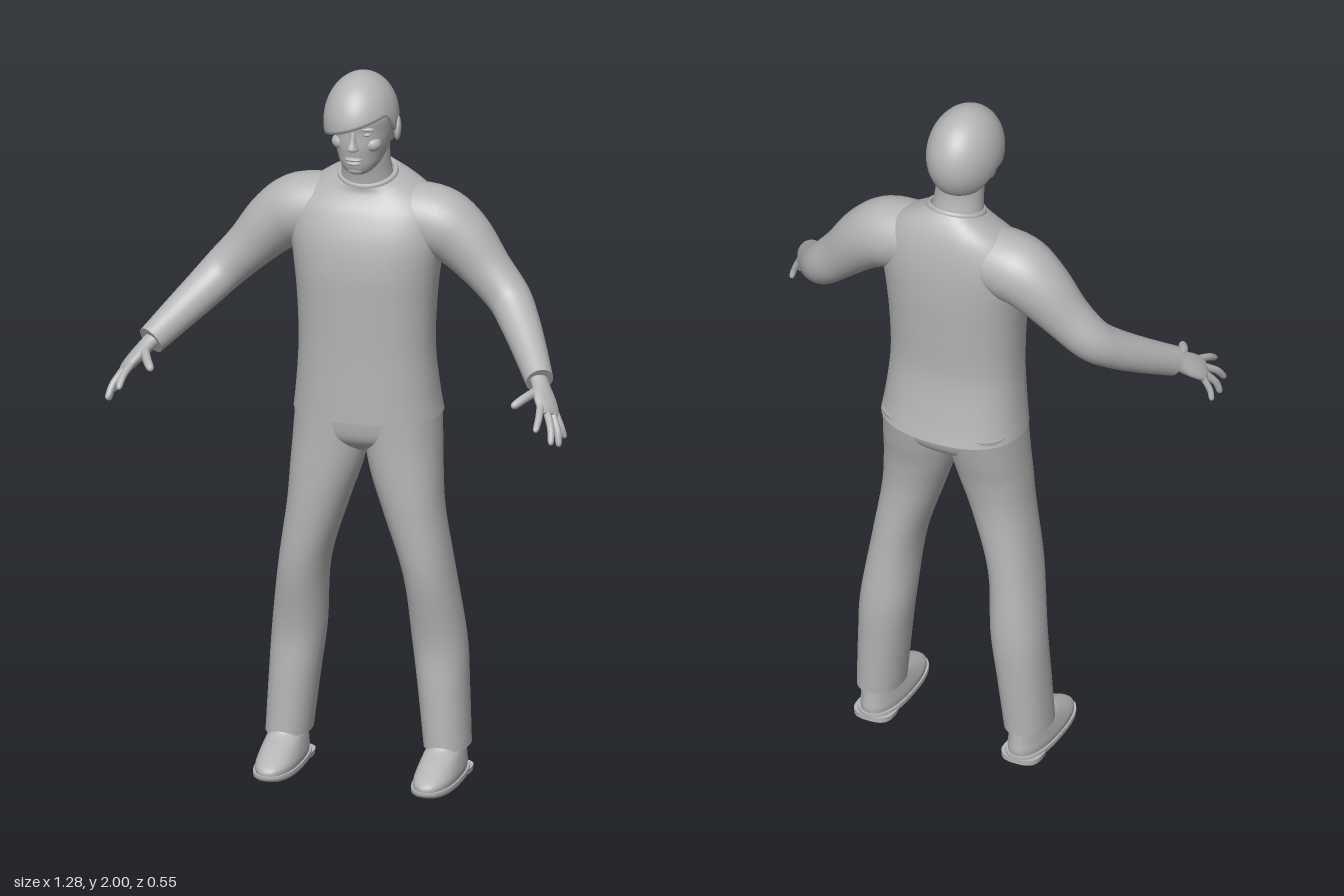
import * as THREE from 'three';
import { mergeVertices } from 'three/addons/utils/BufferGeometryUtils.js';

const grey = new THREE.MeshStandardMaterial({ color: 0xb5b5b5 });
grey.name = 'plain grey';

const V = (x, y, z) => new THREE.Vector3(x, y, z);
const { lerp, smoothstep } = THREE.MathUtils;

function add(parent, name, geometry) {
  const mesh = new THREE.Mesh(geometry, grey);
  mesh.name = name;
  parent.add(mesh);
  return mesh;
}

// Catmull-Rom smoothing of cross-section rows
function smoothRows(rows, steps) {
  const out = [];
  for (let i = 0; i < rows.length - 1; i++) {
    const p = [rows[Math.max(i - 1, 0)], rows[i], rows[i + 1], rows[Math.min(i + 2, rows.length - 1)]];
    for (let k = 0; k < steps; k++) {
      const t = k / steps;
      out.push(p[1].map((b, c) => {
        const a = p[0][c], d = p[2][c], e = p[3][c];
        return 0.5 * (2 * b + (d - a) * t + (2 * a - 5 * b + 4 * d - e) * t * t + (3 * b - a - 3 * d + e) * t * t * t);
      }));
    }
  }
  out.push(rows[rows.length - 1]);
  return out;
}

// Skin of superellipse rings. Row: x, y, z, half width, half depth, slope.
// Without a hint the rings lie level and rise in y; with one they follow the path.
function loft(rows, { hint = null, power = 2, seg = 36, steps = 5 } = {}) {
  const r = smoothRows(rows.map(q => (q.length < 6 ? [...q, 0] : q)), steps);
  const pos = [], idx = [];
  const bend = c => Math.sign(c) * Math.pow(Math.abs(c), 2 / power);
  r.forEach((q, i) => {
    let u = V(1, 0, 0), w = V(0, q[5], -1);
    if (hint) {
      const a = r[Math.max(i - 1, 0)], b = r[Math.min(i + 1, r.length - 1)];
      const t = V(b[0] - a[0], b[1] - a[1], b[2] - a[2]).normalize();
      w = t.clone().cross(hint).normalize();
      u = w.clone().cross(t);
    }
    for (let j = 0; j < seg; j++) {
      const th = (j / seg) * Math.PI * 2;
      const p = V(q[0], q[1], q[2]).addScaledVector(u, q[3] * bend(Math.cos(th))).addScaledVector(w, q[4] * bend(Math.sin(th)));
      pos.push(p.x, p.y, p.z);
      if (i < r.length - 1) {
        const a = i * seg + j, b = i * seg + (j + 1) % seg;
        idx.push(a, b, b + seg, a, b + seg, a + seg);
      }
    }
  });
  // flat end caps with their own corners
  for (const end of [0, r.length - 1]) {
    const base = pos.length / 3;
    pos.push(...r[end].slice(0, 3));
    for (let j = 0; j < seg; j++) {
      const k = (end * seg + j) * 3;
      pos.push(pos[k], pos[k + 1], pos[k + 2]);
      const a = base + 1 + j, b = base + 1 + (j + 1) % seg;
      idx.push(base, ...(end ? [a, b] : [b, a]));
    }
  }
  const g = new THREE.BufferGeometry();
  g.setAttribute('position', new THREE.Float32BufferAttribute(pos, 3));
  g.setIndex(idx);
  g.computeVertexNormals();
  return g;
}

// Level row from its front and back z
const level = (y, front, back, rx, slope = 0, x = 0) => [x, y, (front + back) / 2, rx, (front - back) / 2, slope];
const ball = (x, y, z, sx, sy, sz) => new THREE.SphereGeometry(1, 20, 14).scale(sx, sy, sz).translate(x, y, z);

// Hair cap with a slanted fringe, short sides and a lower nape
function hairGeometry() {
  const g = new THREE.SphereGeometry(1, 48, 24), p = g.attributes.position, uv = g.attributes.uv;
  for (let i = 0; i < p.count; i++) {
    const th = Math.round(uv.getX(i) * 48) / 48 * Math.PI * 2;
    const row = Math.floor(i / 49);
    const cx = -Math.cos(th), sz = Math.sin(th);
    const fringe = 1.872 + 0.035 * cx;
    const hem = sz > 0 ? lerp(1.845, fringe, smoothstep(sz, 0, 0.5)) : lerp(1.845, 1.785, smoothstep(-sz, 0, 0.7));
    const phi = Math.min(1, row / 22) * Math.acos((hem - 1.87) / 0.13);
    const fold = row === 24 ? 0.6 : row === 23 ? 0.88 : 1;
    p.setXYZ(i, -0.007 + 0.1 * cx * Math.sin(phi) * fold, 1.87 + 0.13 * Math.cos(phi), -0.075 + 0.13 * sz * Math.sin(phi) * fold);
  }
  g.deleteAttribute('uv');
  g.deleteAttribute('normal');
  const m = mergeVertices(g, 1e-5);
  m.computeVertexNormals();
  return m;
}

function buildHead(model) {
  const head = new THREE.Group();
  head.name = 'head';
  model.add(head);
  add(head, 'neck', loft([[0, 1.65, -0.118, 0.08, 0.07], [0, 1.71, -0.105, 0.07, 0.066], [0, 1.76, -0.094, 0.066, 0.066], [0, 1.82, -0.09, 0.064, 0.07]]));
  add(head, 'skull', loft([
    level(1.734, 0.0, -0.04, 0.02), level(1.745, 0.013, -0.08, 0.04), level(1.765, 0.021, -0.125, 0.056),
    level(1.79, 0.025, -0.155, 0.066), level(1.82, 0.029, -0.17, 0.075), level(1.86, 0.029, -0.185, 0.083),
    level(1.9, 0.033, -0.188, 0.086), level(1.94, 0.02, -0.17, 0.073), level(1.97, 0.0, -0.145, 0.053), level(1.985, -0.04, -0.11, 0.03),
  ], { power: 2.15 }));
  add(head, 'hair', hairGeometry());
  // Face
  add(head, 'nose', loft([level(1.808, 0.032, 0.005, 0.008), level(1.814, 0.048, 0.005, 0.017), level(1.822, 0.051, 0.005, 0.015),
    level(1.84, 0.042, 0.005, 0.01), level(1.865, 0.033, 0.005, 0.008)], { seg: 20 }));
  add(head, 'upperLip', ball(0, 1.785, 0.022, 0.025, 0.006, 0.013));
  add(head, 'lowerLip', ball(0, 1.774, 0.02, 0.021, 0.006, 0.013));
  add(head, 'chin', ball(0, 1.75, 0.003, 0.024, 0.014, 0.014));
  for (const s of [1, -1]) {
    add(head, 'eye', ball(s * 0.033, 1.857, 0.014, 0.014, 0.006, 0.01));
    add(head, 'brow', ball(s * 0.034, 1.873, 0.016, 0.022, 0.006, 0.012));
    add(head, 'cheek', ball(s * 0.043, 1.825, -0.006, 0.026, 0.022, 0.024));
    const ear = add(head, 'ear', ball(0, 0, 0, 0.01, 0.034, 0.021));
    ear.position.set(s * 0.09, 1.846, -0.09);
    ear.rotation.set(-0.15, s * 0.25, 0);
  }
}

function buildTop(model) {
  add(model, 'sweaterBody', loft([
    level(1.03, 0.03, -0.275, 0.204), level(1.1, 0.03, -0.259, 0.195), level(1.22, 0.03, -0.241, 0.186),
    level(1.35, 0.033, -0.245, 0.19), level(1.45, 0.034, -0.25, 0.2), level(1.54, 0.022, -0.25, 0.212),
    level(1.61, -0.004, -0.243, 0.205), level(1.655, -0.026, -0.23, 0.17, 0.1), level(1.685, -0.037, -0.212, 0.125, 0.2),
    level(1.705, -0.038, -0.192, 0.084, 0.3),
  ], { power: 2.3, seg: 48 }));
  // Neckline band
  const collar = add(model, 'collar', new THREE.TorusGeometry(1, 0.1, 10, 40).rotateX(Math.PI / 2).scale(0.076, 0.09, 0.073));
  collar.position.set(0, 1.706, -0.114);
  collar.rotation.x = 0.3;
}

function buildArm(model, s) {
  const arm = new THREE.Group();
  arm.name = s > 0 ? 'leftArm' : 'rightArm';
  model.add(arm);
  const side = rows => rows.map(([x, ...rest]) => [s * x, ...rest]);
  add(arm, 'sleeve', loft(side([
    [0.09, 1.59, -0.13, 0.09, 0.095], [0.19, 1.575, -0.131, 0.097, 0.098], [0.26, 1.533, -0.13, 0.086, 0.086],
    [0.335, 1.455, -0.12, 0.068, 0.067], [0.398, 1.39, -0.102, 0.06, 0.06], [0.44, 1.345, -0.058, 0.055, 0.055],
    [0.492, 1.292, 0.015, 0.049, 0.047], [0.546, 1.237, 0.1, 0.042, 0.038],
  ]), { hint: V(s * 0.2, 1, 0.3) }));
  // Hand: palm, four fingers and thumb
  add(arm, 'palm', loft(side([
    [0.535, 1.247, 0.085, 0.028, 0.024], [0.553, 1.228, 0.112, 0.028, 0.021], [0.574, 1.204, 0.145, 0.038, 0.019],
    [0.592, 1.182, 0.172, 0.038, 0.015], [0.601, 1.172, 0.184, 0.028, 0.008],
  ]), { hint: V(s * 0.6, -0.5, -0.65), seg: 24 }));
  const digits = [
    ['thumb', [0.552, 1.222, 0.14], [0.53, 1.214, 0.19], [0.507, 1.2, 0.228], 0.013],
    ['indexFinger', [0.575, 1.197, 0.187], [0.584, 1.178, 0.233], [0.586, 1.152, 0.272], 0.0105],
    ['middleFinger', [0.592, 1.181, 0.184], [0.614, 1.15, 0.222], [0.624, 1.112, 0.252], 0.0105],
    ['ringFinger', [0.605, 1.168, 0.171], [0.625, 1.133, 0.194], [0.633, 1.093, 0.207], 0.0105],
    ['littleFinger', [0.612, 1.16, 0.154], [0.626, 1.13, 0.158], [0.634, 1.1, 0.154], 0.009],
  ];
  for (const [name, a, b, c, r] of digits) {
    const mix = (k, p, q) => p.map((v, i) => lerp(v, q[i], k));
    add(arm, name, loft(side([
      [...mix(-0.3, a, b), r, r], [...a, r, r], [...b, r * 0.95, r * 0.95], [...mix(0.8, b, c), r * 0.8, r * 0.8], [...c, r * 0.25, r * 0.25],
    ]), { hint: V(s * 0.6, -0.5, -0.65), seg: 14, steps: 4 }));
  }
}

function buildLeg(model, s) {
  const leg = new THREE.Group();
  leg.name = s > 0 ? 'leftLeg' : 'rightLeg';
  model.add(leg);
  const at = (x, y, front, back, rx) => level(y, front, back, rx, 0, s * x);
  add(leg, 'trouserLeg', loft([
    at(0.222, 0.09, -0.036, -0.202, 0.062), at(0.209, 0.25, -0.043, -0.21, 0.068), at(0.196, 0.39, -0.047, -0.214, 0.073),
    at(0.175, 0.58, -0.012, -0.2, 0.068), at(0.135, 0.757, 0.0, -0.195, 0.082), at(0.112, 0.87, 0.002, -0.208, 0.097),
    at(0.102, 0.95, 0.002, -0.228, 0.102), at(0.098, 1.05, 0.004, -0.25, 0.1),
  ], { power: 2.2 }));
  // Shoe with a flat sole and heel
  add(leg, 'shoe', loft([
    at(0.222, 0.016, 0.1, -0.2, 0.056), at(0.222, 0.035, 0.098, -0.202, 0.058), at(0.222, 0.055, 0.066, -0.2, 0.055),
    at(0.222, 0.078, 0.015, -0.198, 0.05), at(0.222, 0.1, -0.035, -0.196, 0.045), at(0.22, 0.15, -0.06, -0.19, 0.042),
  ], { power: 2.3 }));
  add(leg, 'sole', loft([at(0.222, 0.003, 0.09, -0.2, 0.057), at(0.222, 0.01, 0.104, -0.206, 0.062), at(0.222, 0.022, 0.105, -0.206, 0.061)],
    { power: 2.5, steps: 2 }));
  add(leg, 'heel', loft([at(0.222, 0, -0.1, -0.206, 0.056), at(0.222, 0.015, -0.095, -0.206, 0.058)], { power: 2.8, steps: 1 }));
}

export function createModel() {
  const model = new THREE.Group();
  model.name = 'standingMan';
  buildHead(model);
  buildTop(model);
  add(model, 'trouserSeat', loft([
    level(0.925, -0.06, -0.16, 0.05), level(0.95, -0.02, -0.2, 0.12), level(0.985, 0.0, -0.235, 0.185), level(1.06, 0.008, -0.25, 0.192),
  ], { power: 2.3 }));
  for (const s of [1, -1]) {
    buildArm(model, s);
    buildLeg(model, s);
  }
  return model;
}
